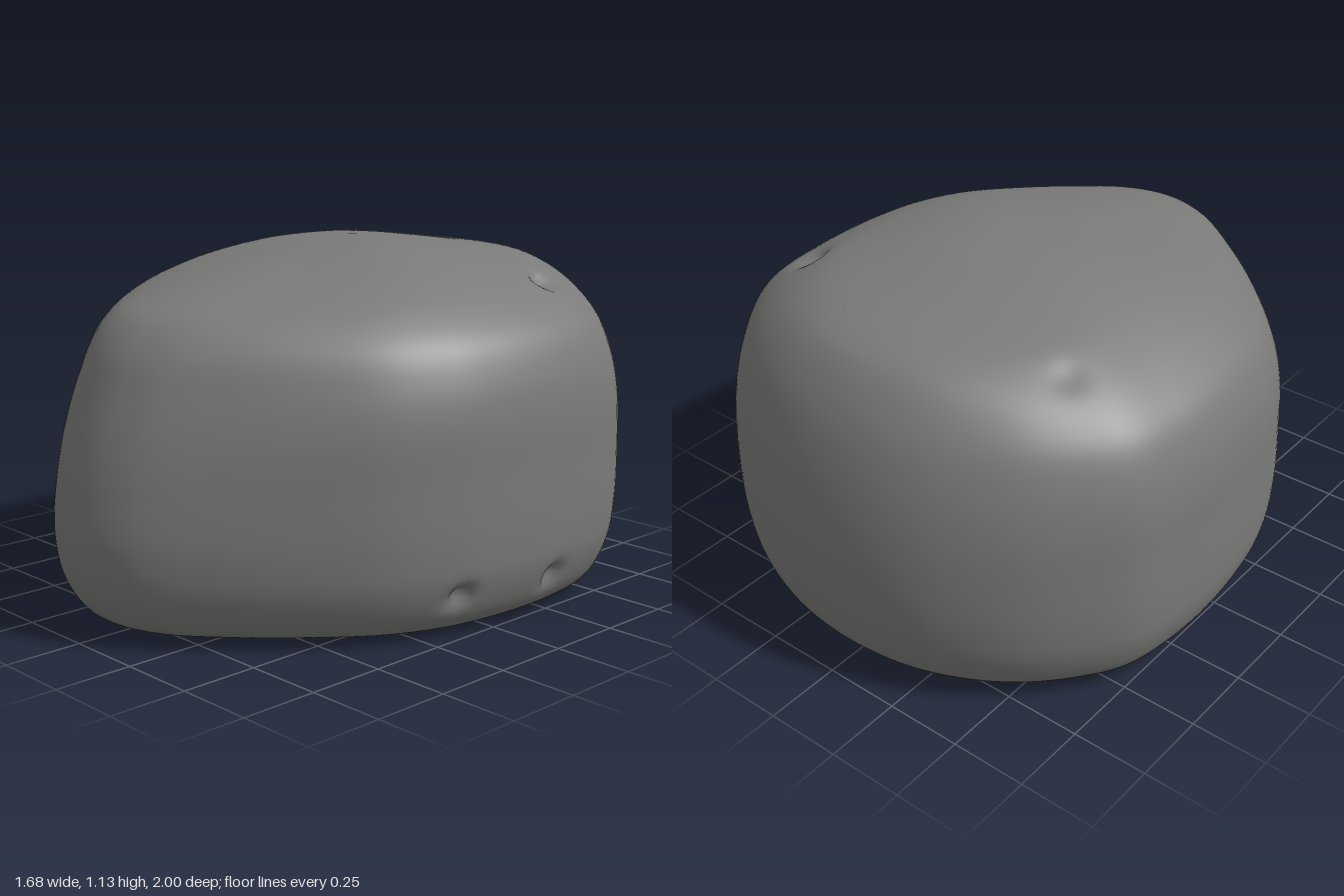
import * as THREE from 'three';
import { mergeVertices } from 'three/addons/utils/BufferGeometryUtils.js';

const CENTER_Z = -0.13, HALF_WIDTH = 0.84, FRONT = 1.13, BACK = 0.87;
const AROUND = 180, LEVELS = 110;

// Right half of the plan outline [x, z], from the front tip to the back
const HALF_OUTLINE = [
  [0, 1], [0.08, 0.99], [0.2, 0.94], [0.37, 0.8], [0.56, 0.6], [0.71, 0.4], [0.795, 0.2],
  [0.825, 0.05], [0.84, -0.13], [0.835, -0.3], [0.8, -0.5], [0.71, -0.65], [0.57, -0.8],
  [0.38, -0.92], [0.2, -0.98], [0, -1],
];

// Profiles [fraction of outline radius, height] from the underside to the crown
const PROFILES = {
  front: [[0, 0.005], [0.5, 0.004], [0.82, 0.01], [0.91, 0.05], [0.975, 0.15], [1, 0.3], [0.985, 0.46],
    [0.955, 0.6], [0.91, 0.74], [0.86, 0.86], [0.79, 0.945], [0.69, 0.99], [0.47, 1.05], [0.2, 1.11], [0, 1.135]],
  side: [[0, 0.005], [0.5, 0.01], [0.86, 0.02], [0.93, 0.07], [0.985, 0.18], [1, 0.3], [1, 0.5],
    [0.995, 0.67], [0.97, 0.78], [0.915, 0.88], [0.8, 0.965], [0.61, 1.05], [0.42, 1.1], [0.22, 1.127], [0, 1.135]],
  back: [[0, 0.005], [0.5, 0.015], [0.8, 0.02], [0.885, 0.05], [0.955, 0.16], [0.99, 0.3], [1, 0.45],
    [0.985, 0.62], [0.945, 0.78], [0.885, 0.91], [0.79, 1.02], [0.71, 1.06], [0.43, 1.1], [0.2, 1.125], [0, 1.135]],
};

// Small chips: [x, y, z, radius, depth]
const CHIPS = [
  [0.78, 0.14, 0.18, 0.035, 0.04], [0.8, 0.14, -0.2, 0.035, 0.04],
  [0.57, 1.0, -0.42, 0.05, 0.04], [-0.52, 1.04, -0.5, 0.05, 0.012],
  [-0.03, 0.36, 1.0, 0.03, 0.008],
];

function sampleProfile(points) {
  const curve = new THREE.CatmullRomCurve3(points.map(([s, y]) => new THREE.Vector3(s, y, 0)));
  return Array.from({ length: LEVELS + 1 }, (_, j) => curve.getPoint(j / LEVELS));
}

function stoneGeometry() {
  const mirrored = HALF_OUTLINE.slice(1, -1).reverse().map(([x, z]) => [-x, z]);
  const outline = new THREE.CatmullRomCurve3(
    [...HALF_OUTLINE, ...mirrored].map(([x, z]) => new THREE.Vector3(x, 0, z)), true);
  const front = sampleProfile(PROFILES.front);
  const side = sampleProfile(PROFILES.side);
  const back = sampleProfile(PROFILES.back);

  const positions = [], index = [];
  const point = new THREE.Vector3(), chip = new THREE.Vector3(), inward = new THREE.Vector3();
  for (let j = 0; j <= LEVELS; j++) {
    for (let i = 0; i < AROUND; i++) {
      // Blend the end and side profiles by direction
      const o = outline.getPoint(i / AROUND);
      const dz = o.z - CENTER_Z;
      const u = o.x / HALF_WIDTH, v = dz / (dz > 0 ? FRONT : BACK);
      const end = dz > 0 ? front[j] : back[j];
      const p = end.clone().lerp(side[j], u * u / (u * u + v * v));
      const s = j === 0 || j === LEVELS ? 0 : p.x;
      point.set(o.x * s, Math.max(0, p.y), CENTER_Z + dz * s);
      // Press the chips into the surface
      for (const [x, y, z, radius, depth] of CHIPS) {
        const d = point.distanceTo(chip.set(x, y, z)) / radius;
        if (d > 3) continue;
        inward.set(0, 0.5, CENTER_Z).sub(chip).normalize();
        point.addScaledVector(inward, depth * Math.exp(-d * d));
      }
      positions.push(point.x, point.y, point.z);
      if (j === LEVELS) continue;
      const a = j * AROUND + i, b = j * AROUND + (i + 1) % AROUND;
      if (j > 0) index.push(a, b, b + AROUND);
      if (j < LEVELS - 1) index.push(a, b + AROUND, a + AROUND);
      if (j === 0) continue;
    }
  }
  const raw = new THREE.BufferGeometry();
  raw.setAttribute('position', new THREE.Float32BufferAttribute(positions, 3));
  raw.setIndex(index);
  const geometry = mergeVertices(raw, 1e-5);
  geometry.computeVertexNormals();
  return geometry;
}

export function createModel() {
  const stoneGrey = new THREE.MeshStandardMaterial({ color: 0x7a7a78 });
  stoneGrey.name = 'stone grey';
  const stone = new THREE.Mesh(stoneGeometry(), stoneGrey);
  stone.name = 'stone';
  const model = new THREE.Group();
  model.name = 'boulder';
  model.add(stone);
  return model;
}
